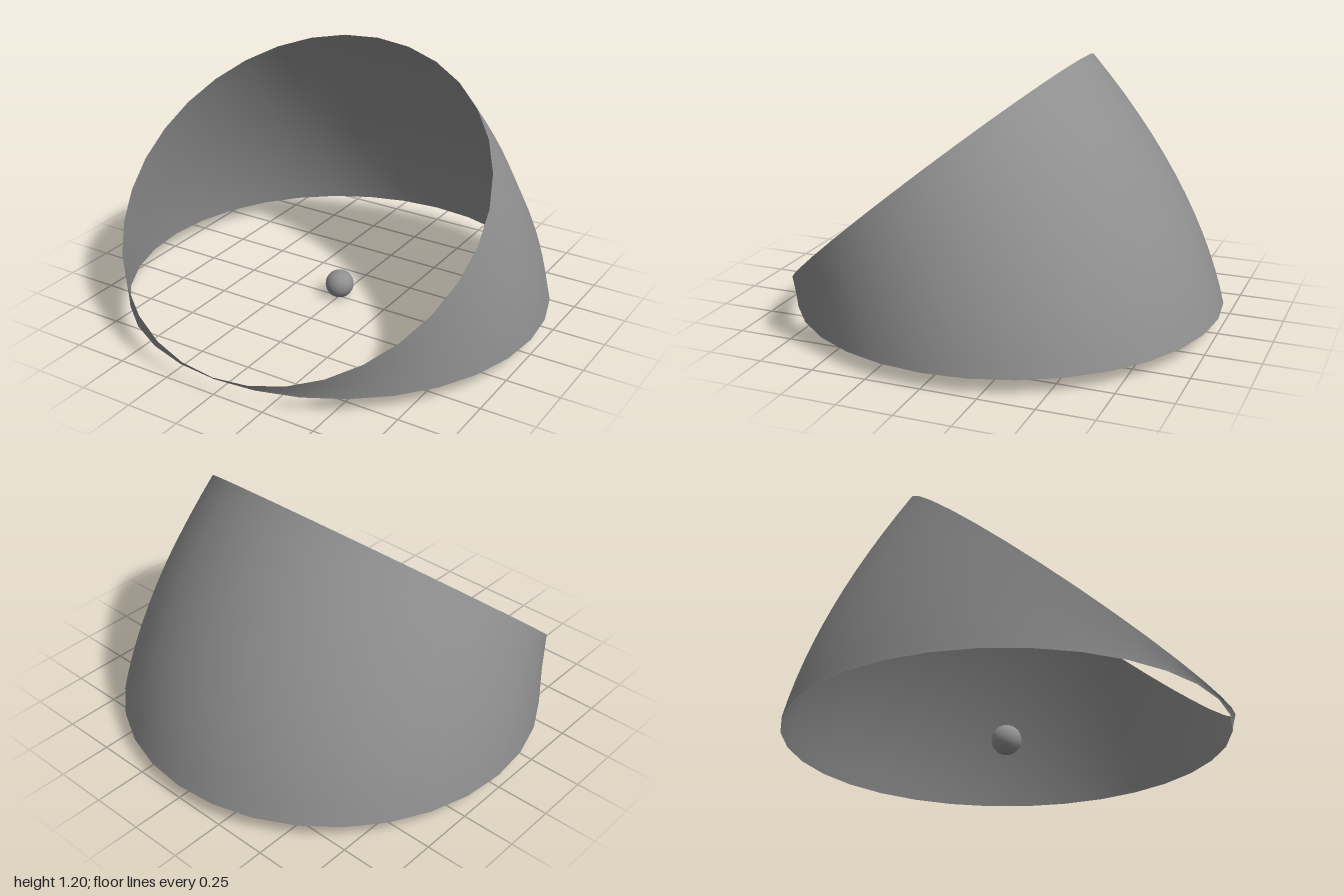
import * as THREE from 'three';

const SEGMENTS = 32;
const ROWS = 12;
const GREY = 0x909090;

// Hood wall: each column bows from the level base circle up to the tilted rim circle.
function hoodGeometry() {
  const base = { y: 0.07, z: -0.005, radius: 0.995 };
  const rim = { y: 0.643, z: 0.33, radius: 0.873, tilt: Math.atan2(1.122, 1.34) };
  const positions = [];
  const indices = [];
  for (let row = 0; row <= ROWS; row++) {
    const t = row / ROWS;
    const bow = 0.48 * t + 0.52 * t * t;
    for (let i = 0; i <= SEGMENTS; i++) {
      const a = (i % SEGMENTS) / SEGMENTS * Math.PI * 2;
      const s = Math.sin(a);
      const c = Math.cos(a);
      const rimY = rim.y - rim.radius * Math.sin(rim.tilt) * c;
      const rimZ = rim.z + rim.radius * Math.cos(rim.tilt) * c;
      positions.push(
        THREE.MathUtils.lerp(base.radius, rim.radius, bow) * s,
        THREE.MathUtils.lerp(base.y, rimY, t),
        THREE.MathUtils.lerp(base.z + base.radius * c, rimZ, bow)
      );
    }
  }
  const stride = SEGMENTS + 1;
  for (let row = 0; row < ROWS; row++) {
    for (let i = 0; i < SEGMENTS; i++) {
      const a = row * stride + i;
      const b = a + 1;
      indices.push(a, b, b + stride, a, b + stride, a + stride);
    }
  }
  const geometry = new THREE.BufferGeometry();
  geometry.setAttribute('position', new THREE.Float32BufferAttribute(positions, 3));
  geometry.setIndex(indices);
  geometry.computeVertexNormals();
  return geometry;
}

export function createModel() {
  const model = new THREE.Group();
  model.name = 'openHoodWithBall';

  // Thin open hood
  const hood = new THREE.Mesh(
    hoodGeometry(),
    new THREE.MeshStandardMaterial({ color: GREY, side: THREE.DoubleSide })
  );
  hood.name = 'hood';
  model.add(hood);

  // Small ball at the centre of the base
  const ball = new THREE.Mesh(
    new THREE.SphereGeometry(0.067, 32, 16),
    new THREE.MeshStandardMaterial({ color: GREY })
  );
  ball.name = 'centreBall';
  ball.position.set(0, 0.067, -0.005);
  model.add(ball);

  return model;
}
